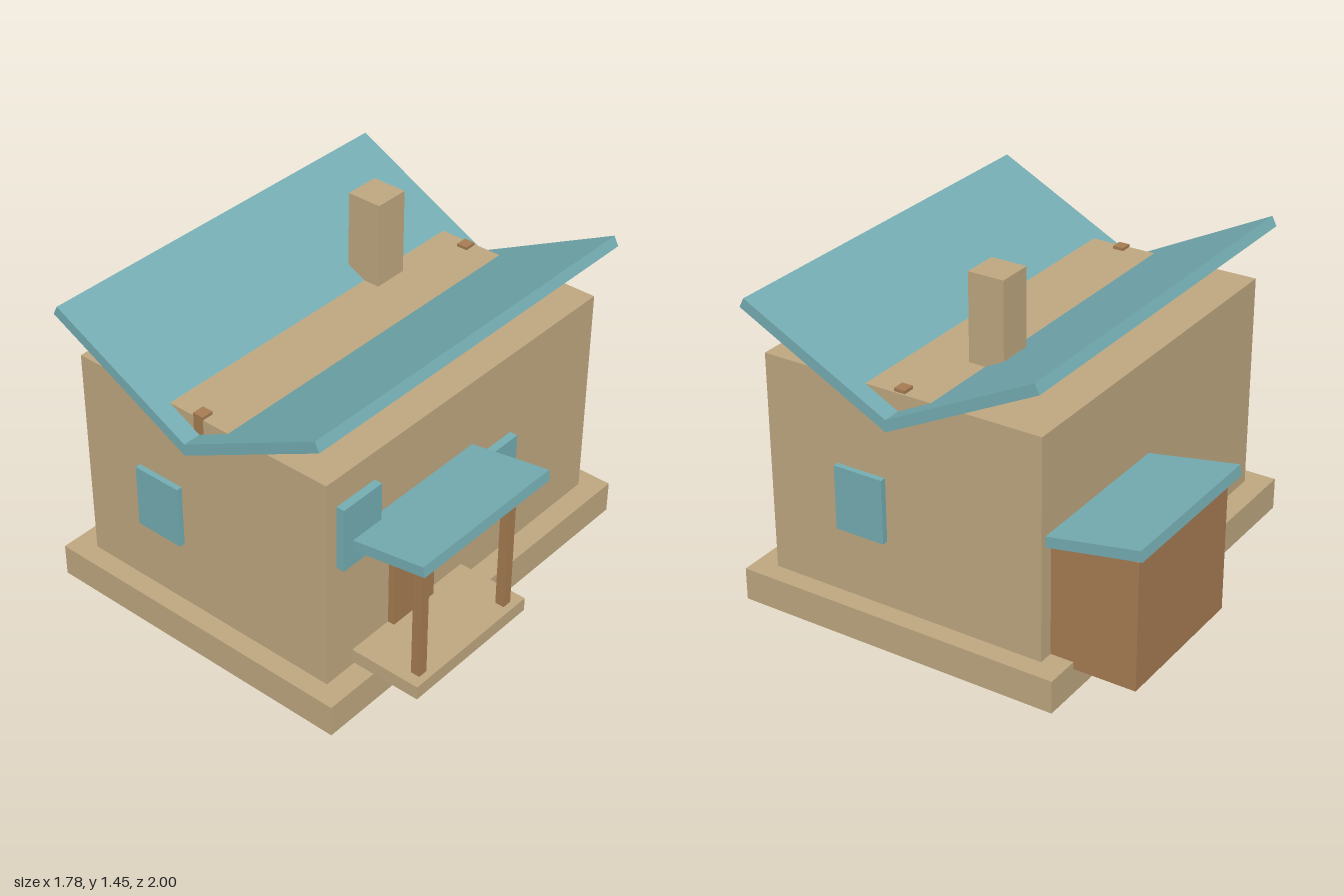
import * as THREE from 'three';

const tan = new THREE.MeshStandardMaterial({ color: 0xbfa880 });
const teal = new THREE.MeshStandardMaterial({ color: 0x74adb2 });
const brown = new THREE.MeshStandardMaterial({ color: 0xa67c52 });

// Axis-aligned box given by its extents
function block(name, material, [x0, x1], [y0, y1], [z0, z1]) {
  const mesh = new THREE.Mesh(new THREE.BoxGeometry(x1 - x0, y1 - y0, z1 - z0), material);
  mesh.position.set((x0 + x1) / 2, (y0 + y1) / 2, (z0 + z1) / 2);
  mesh.name = name;
  return mesh;
}

// Tilted roof panel whose underside runs between two [z, y] points
function panel(name, [x0, x1], [z0, y0], [z1, y1], thickness = 0.045) {
  const length = Math.hypot(z1 - z0, y1 - y0);
  const tilt = -Math.atan((y1 - y0) / (z1 - z0));
  const mesh = new THREE.Mesh(new THREE.BoxGeometry(x1 - x0, thickness, length), teal);
  mesh.rotation.x = tilt;
  mesh.position.set(
    (x0 + x1) / 2,
    (y0 + y1) / 2 + Math.cos(tilt) * thickness / 2,
    (z0 + z1) / 2 + Math.sin(tilt) * thickness / 2
  );
  mesh.name = name;
  return mesh;
}

export function createModel() {
  const house = new THREE.Group();
  house.name = 'house';

  // Body
  house.add(
    block('foundation', tan, [-0.89, 0.89], [0, 0.14], [-0.7, 0.73]),
    block('walls', tan, [-0.805, 0.805], [0.14, 1.08], [-0.6, 0.635]),
    block('chimney', tan, [0.3, 0.455], [0.98, 1.45], [-0.21, -0.055])
  );

  // Butterfly roof, its valley sunk into the wall top
  house.add(
    panel('frontRoof', [-0.885, 0.885], [0.02, 0.955], [0.675, 1.29]),
    panel('backRoof', [-0.885, 0.885], [0.02, 0.955], [-0.64, 1.29])
  );
  for (const x of [-0.78, 0.772]) {
    house.add(block('roofPeg', brown, [x - 0.026, x + 0.026], [1.0, 1.093], [-0.007, 0.041]));
  }

  // Windows: two in front, one on each side
  house.add(
    block('upperFrontWindow', teal, [-0.75, -0.54], [0.675, 0.955], [0.62, 0.67]),
    block('lowerFrontWindow', teal, [0.07, 0.285], [0.43, 0.705], [0.62, 0.67]),
    block('leftWindow', teal, [0.79, 0.83], [0.43, 0.705], [0.09, 0.31]),
    block('rightWindow', teal, [-0.83, -0.79], [0.43, 0.705], [-0.31, -0.09])
  );

  // Porch with door, posts and canopy
  const porch = new THREE.Group();
  porch.name = 'porch';
  porch.add(
    block('porchFloor', tan, [-0.66, 0], [0.155, 0.215], [0.6, 0.95]),
    block('door', brown, [-0.45, -0.21], [0.2, 0.745], [0.62, 0.665]),
    panel('canopy', [-0.7, 0.04], [0.6, 0.734], [1.0, 0.797])
  );
  for (const x of [-0.59, -0.075]) {
    porch.add(block('porchPost', brown, [x - 0.021, x + 0.021], [0.21, 0.79], [0.88, 0.92]));
  }
  house.add(porch);

  // Lean-to at the back
  house.add(
    block('leanTo', brown, [0.08, 0.74], [0.11, 0.655], [-0.965, -0.58]),
    panel('leanToRoof', [0.04, 0.78], [-0.57, 0.615], [-1.0, 0.69])
  );

  return house;
}
